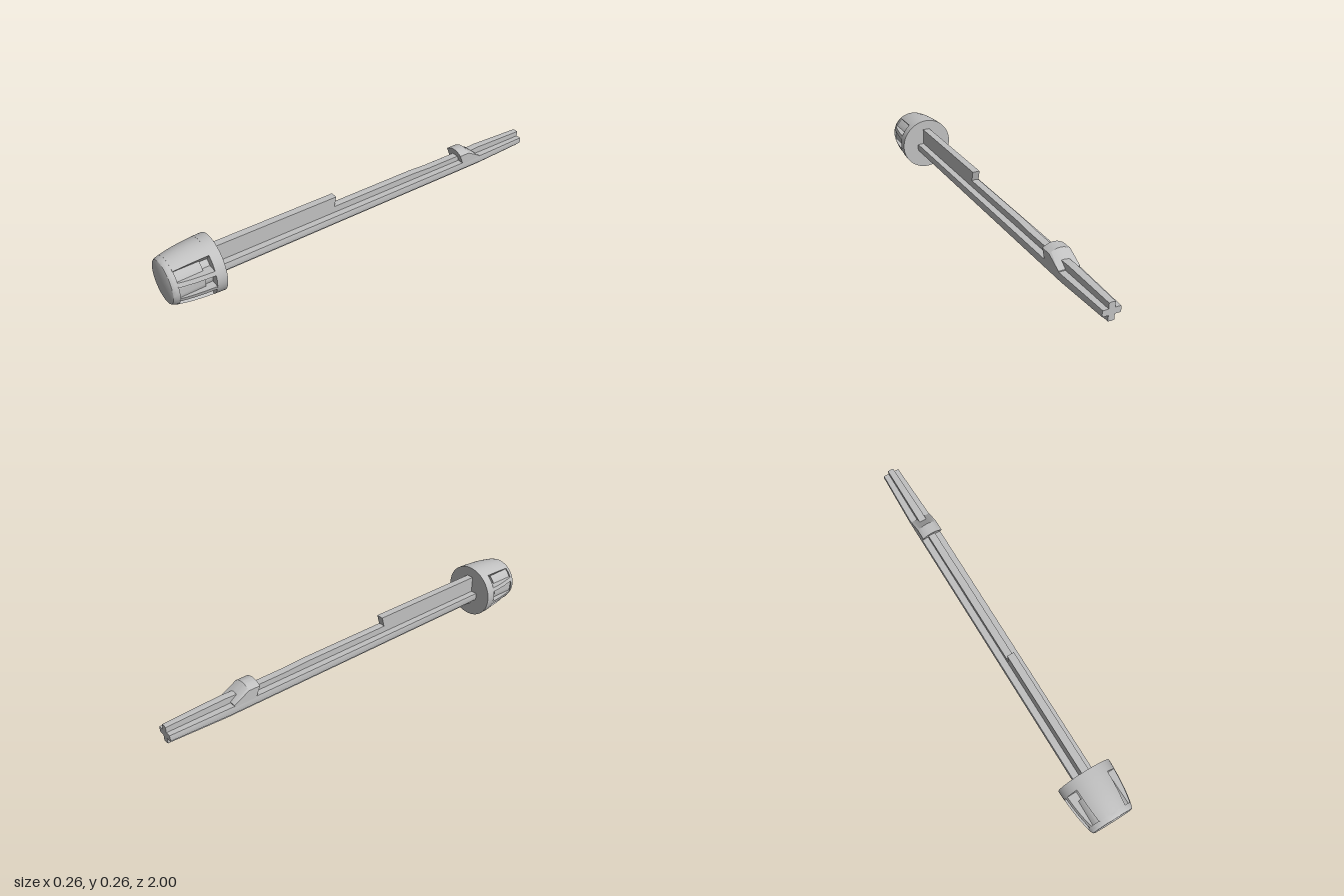
import * as THREE from 'three';
import { toCreasedNormals } from 'three/addons/utils/BufferGeometryUtils.js';

const CAP_Y = 0.132;    // axis of the knob
const SHAFT_Y = 0.117;  // axis of the cross-shaped shaft

// Move every vertex by a rule, then rebuild normals with sharp edges kept
function warp(geo, rule) {
  const p = geo.attributes.position;
  for (let i = 0; i < p.count; i++) p.setXYZ(i, ...rule(p.getX(i), p.getY(i), p.getZ(i)));
  return toCreasedNormals(geo, 0.5);
}

const shapeOf = (pts) => new THREE.Shape(pts.map(([x, y]) => new THREE.Vector2(x, y)));

const extrude = (pts, depth, steps = 1) =>
  new THREE.ExtrudeGeometry(shapeOf(pts), { depth, steps, bevelEnabled: false });

// Side profile of [z, y] points, extruded across x
function sideProfile(pts, width, steps = 1, drop = 0) {
  return warp(extrude(pts, width, steps), (z, y, d) => {
    const x = width / 2 - d;
    return [-x, y - (y > 0.03 ? drop * x * x : 0), z].map((v, i) => (i === 0 ? -v : v));
  });
}

export function createModel() {
  const model = new THREE.Group();
  const grey = new THREE.MeshStandardMaterial({ color: 0xc0c0c0 });
  grey.name = 'lightGrey';

  const add = (parent, name, geo, y = 0) => {
    const mesh = new THREE.Mesh(geo, grey);
    mesh.name = name;
    mesh.position.y = y;
    parent.add(mesh);
  };

  // Knob: rear rim, recessed core and rounded nose in one lathe
  const knob = new THREE.Group();
  knob.name = 'knob';
  knob.position.y = CAP_Y;
  model.add(knob);

  const body = [
    [0, 0.77], [0.131, 0.77], [0.1305, 0.79], [0.129, 0.817],
    [0.088, 0.817], [0.088, 0.855], [0.1, 0.855], [0.102, 0.972],
    [0.1085, 0.972], [0.105, 0.985], [0.102, 0.993], [0.098, 0.998], [0.093, 1], [0, 1],
  ].map(([r, z]) => new THREE.Vector2(r, z));
  const bodyGeo = new THREE.LatheGeometry(body, 64);
  bodyGeo.rotateX(Math.PI / 2);
  add(knob, 'knobBody', toCreasedNormals(bodyGeo, 0.5));

  // Wall section in [radius, z], shared by the wall panels and ribs
  const wall = [
    [0.08, 0.815], [0.129, 0.815], [0.126, 0.86], [0.1205, 0.91],
    [0.1135, 0.95], [0.1085, 0.974], [0.08, 0.974],
  ];

  // Solid wall panels over the top and bottom
  const half = 0.65;
  for (const [name, mid] of [['topWall', 0], ['bottomWall', Math.PI]]) {
    add(knob, name, warp(extrude(wall, 2 * half, 14), (r, z, d) => {
      const a = mid + d - half;
      return [r * Math.sin(a), r * Math.cos(a), z];
    }));
  }

  // Two ribs on each side divide the opening into three windows
  const thick = 0.019;
  for (const side of [1, -1]) {
    for (const y0 of [0.038, -0.038]) {
      add(knob, side > 0 ? 'leftRib' : 'rightRib', warp(extrude(wall, thick), (r, z, d) => {
        const y = y0 - side * (d - thick / 2);
        return [side * Math.sqrt(r * r - y * y), y, z];
      }));
    }
  }

  // Shaft: plus-shaped section with rounded fin ends, tapering to the rear
  const section = [];
  const t = 0.0175, e = 0.049, m = 0.052;
  for (let k = 0; k < 4; k++) {
    const c = [1, 0, -1, 0][k], s = [0, 1, 0, -1][k];
    for (const [x, y] of [[e, -t], [m, 0], [e, t], [t, t]]) section.push([x * c - y * s, x * s + y * c]);
  }
  // Stations: z, scale, highest y
  const stations = [
    [-1, 0.82, 0.06], [-0.72, 1, 0.06], [-0.62, 1, 0.044],
    [-0.4, 1, 0.044], [-0.3, 1, 0.06], [0.78, 1, 0.06],
  ];
  const n = stations.length - 1;
  add(model, 'shaft', warp(extrude(section, n, n), (x, y, d) => {
    const [z, scale, top] = stations[Math.round(d)];
    return [x * scale, Math.min(y * scale, top), z];
  }), SHAFT_Y);

  // Tall upper fin with an undercut end
  add(model, 'upperFin', sideProfile(
    [[0.78, 0.03], [0.78, 0.098], [0.15, 0.098], [0.167, 0.03]], 2 * t), SHAFT_Y);

  // Arched catch with a leaning front face and sloping back
  add(model, 'catch', sideProfile(
    [[-0.592, 0.01], [-0.57, 0.08], [-0.625, 0.08], [-0.7, 0.022], [-0.7, 0.01]], 0.1, 10, 7), SHAFT_Y);

  return model;
}
